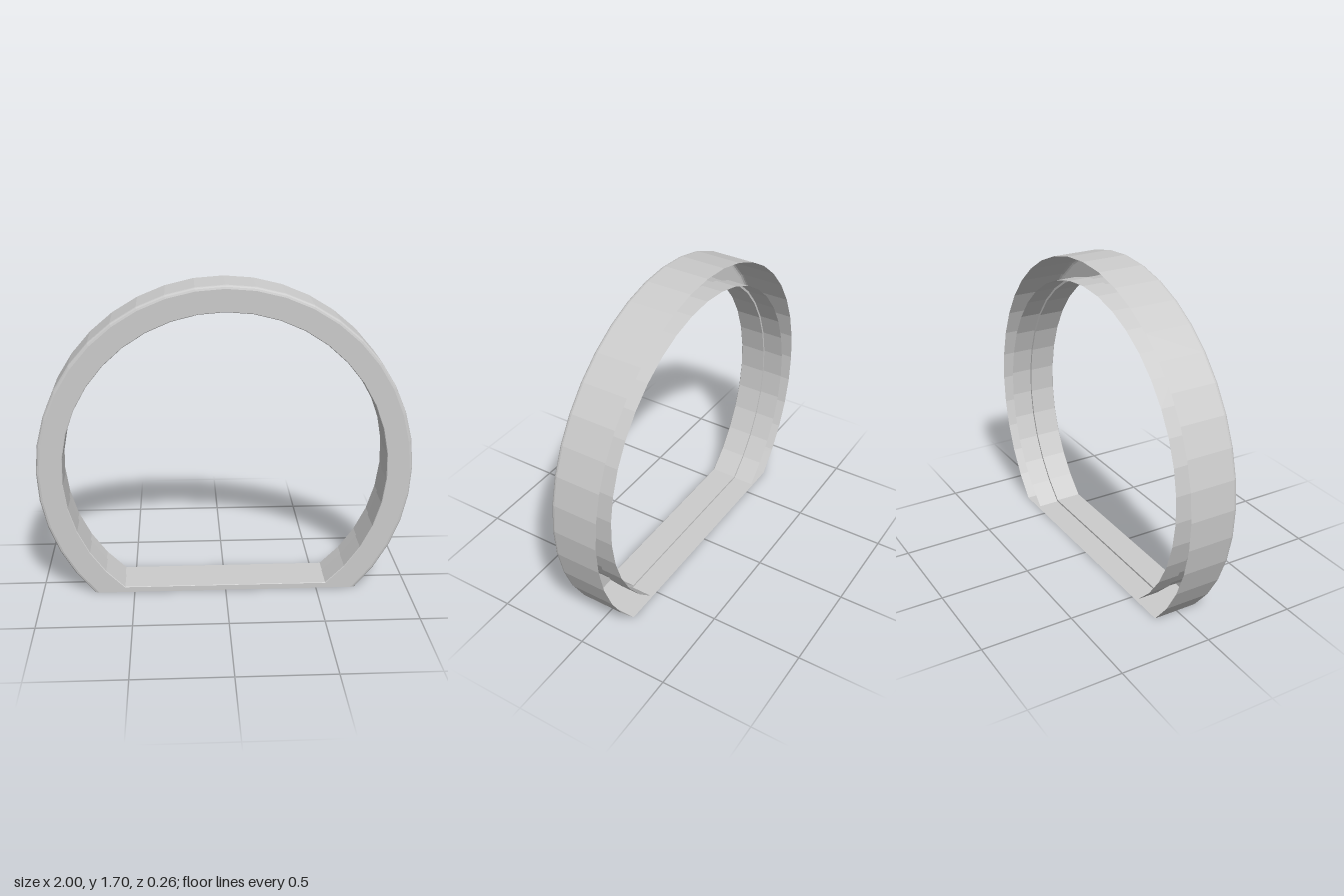
import * as THREE from 'three';

const CENTRE_Y = 0.695; // height of the circle centre
const SEGMENTS = 30;

// Closed outline: a circle of radius r cut off flat at height floorY
function outline(r, floorY, z) {
  const start = -Math.asin((CENTRE_Y - floorY) / r);
  const sweep = Math.PI - 2 * start;
  const points = [];
  for (let i = 0; i <= SEGMENTS; i++) {
    const a = start + (sweep * i) / SEGMENTS;
    points.push(new THREE.Vector3(r * Math.cos(a), CENTRE_Y + r * Math.sin(a), z));
  }
  return points;
}

// Skin a series of [radius, floor height, z] outlines
function loft(sections) {
  const rings = sections.map((s) => outline(...s));
  const n = SEGMENTS + 1;
  const positions = [];
  for (let j = 0; j < rings.length - 1; j++) {
    for (let i = 0; i < n; i++) {
      const k = (i + 1) % n;
      const a = rings[j][i], b = rings[j][k];
      const c = rings[j + 1][k], d = rings[j + 1][i];
      for (const p of [a, b, c, a, c, d]) positions.push(p.x, p.y, p.z);
    }
  }
  const geometry = new THREE.BufferGeometry();
  geometry.setAttribute('position', new THREE.Float32BufferAttribute(positions, 3));
  geometry.computeVertexNormals();
  return geometry;
}

export function createModel() {
  const group = new THREE.Group();
  group.name = 'archedFrame';
  const material = new THREE.MeshStandardMaterial({
    color: 0xcccccc, flatShading: true, side: THREE.DoubleSide,
  });
  const add = (name, sections) => {
    const mesh = new THREE.Mesh(loft(sections), material);
    mesh.name = name;
    group.add(mesh);
  };

  // Outer wall with its flat base
  add('outerWall', [[1, 0, -0.132], [1, 0, 0.112]]);

  // Front face with a rounded outer edge
  add('frontFace', [
    [1, 0, 0.112], [0.998, 0, 0.121], [0.992, 0, 0.129], [0.982, 0, 0.132],
    [0.866, 0.029, 0.132], [0.863, 0.031, 0.129],
  ]);

  // Inner wall, stepped halfway back; the channel behind the face is open
  add('innerWall', [
    [0.863, 0.031, 0.129], [0.863, 0.031, -0.015],
    [0.875, 0.02, -0.015], [0.875, 0.02, -0.132],
  ]);

  return group;
}
